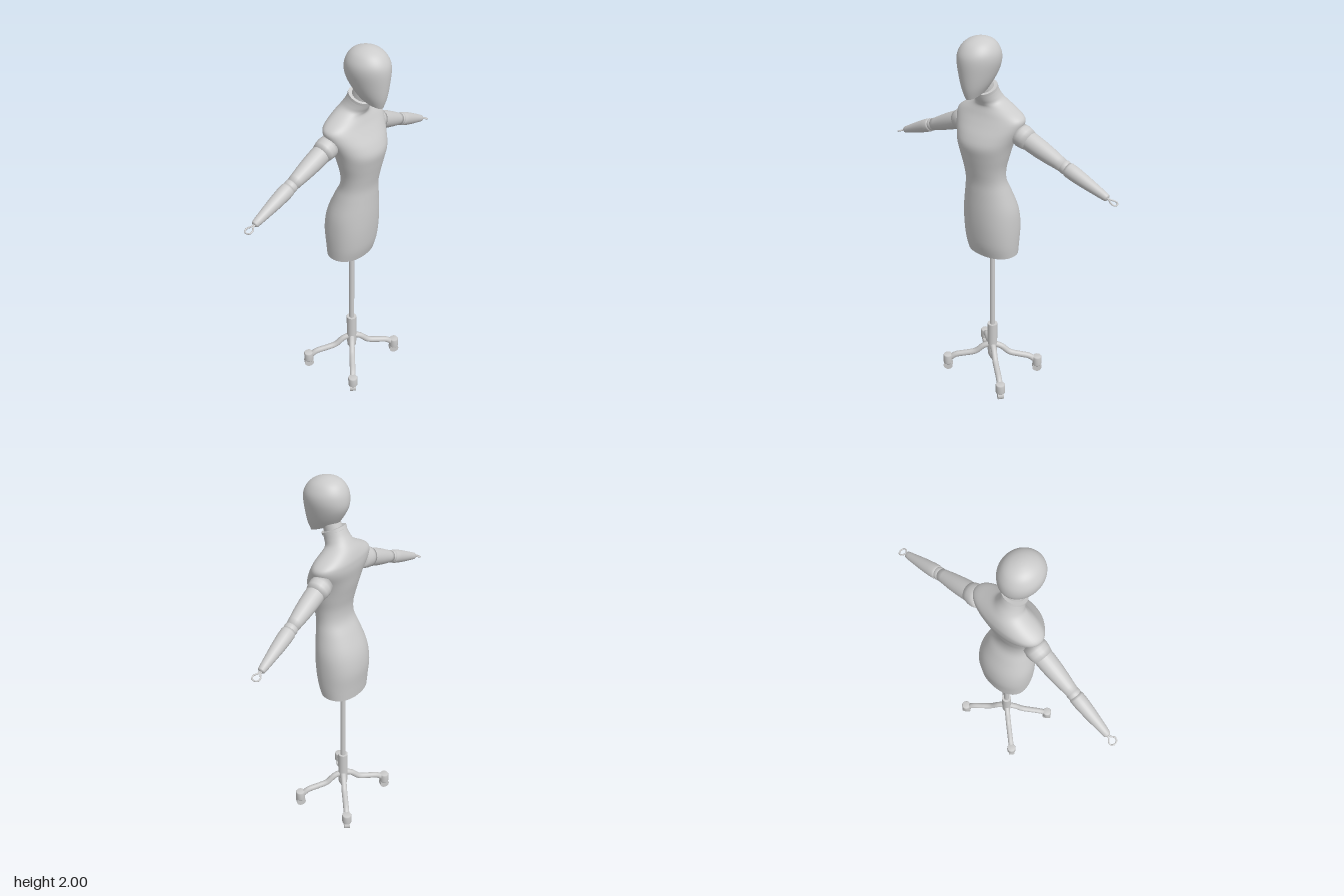
import * as THREE from 'three';

const grey = new THREE.MeshStandardMaterial({ color: 0xcccccc });
const V = (x, y, z) => new THREE.Vector3(x, y, z);

function add(parent, name, geometry, x = 0, y = 0, z = 0) {
  const mesh = new THREE.Mesh(geometry, grey);
  mesh.name = name;
  mesh.position.set(x, y, z);
  parent.add(mesh);
  return mesh;
}

// Smooth blend through a list of cross-sections, u from 0 to rows.length - 1
function sample(rows, u) {
  const i = Math.min(Math.floor(u), rows.length - 2), t = u - i;
  const [a, b, c, d] = [-1, 0, 1, 2].map(k => rows[THREE.MathUtils.clamp(i + k, 0, rows.length - 1)]);
  return b.map((p, k) => {
    const m0 = (c[k] - a[k]) / 2, m1 = (d[k] - p) / 2, t2 = t * t, t3 = t2 * t;
    return (2 * t3 - 3 * t2 + 1) * p + (t3 - 2 * t2 + t) * m0 + (3 * t2 - 2 * t3) * c[k] + (t3 - t2) * m1;
  });
}

// Skin over rows of [y, front z, back z, half width, squareness, tilt dy/dz], with flat end caps
function loft(rows, sub = 4, seg = 48) {
  const pos = [], index = [], n = (rows.length - 1) * sub;
  const ring = u => {
    const [y, zf, zb, rx, e, tilt] = sample(rows, u);
    const cz = (zf + zb) / 2, rz = (zf - zb) / 2;
    for (let j = 0; j < seg; j++) {
      const a = j / seg * Math.PI * 2, c = Math.cos(a), s = Math.sin(a);
      const dz = rz * Math.sign(c) * Math.abs(c) ** (2 / e);
      pos.push(rx * Math.sign(s) * Math.abs(s) ** (2 / e), y + dz * tilt, cz + dz);
    }
    return [y, cz];
  };
  for (let i = 0; i <= n; i++) ring(i / sub);
  for (let i = 0; i < n; i++) for (let j = 0; j < seg; j++) {
    const a = i * seg + j, b = i * seg + (j + 1) % seg;
    index.push(a, b, b + seg, a, b + seg, a + seg);
  }
  for (const top of [false, true]) {
    const start = pos.length / 3, [y, cz] = ring(top ? rows.length - 1 : 0);
    pos.push(0, y, cz);
    for (let j = 0; j < seg; j++) {
      const a = start + j, b = start + (j + 1) % seg;
      index.push(start + seg, top ? a : b, top ? b : a);
    }
  }
  const g = new THREE.BufferGeometry();
  g.setAttribute('position', new THREE.Float32BufferAttribute(pos, 3));
  g.setIndex(index);
  g.computeVertexNormals();
  return g;
}

const lathe = (pts, seg = 24) => new THREE.LatheGeometry(pts.map(p => new THREE.Vector2(...p)), seg);

function makeArm(side) {
  const arm = new THREE.Group();
  arm.name = side > 0 ? 'leftArm' : 'rightArm';
  arm.position.set(side * 0.2, 1.527, -0.005);
  arm.quaternion.setFromUnitVectors(V(0, 1, 0), V(side * 0.48, -0.187, -0.025).normalize());
  // Profiles are [radius, distance along the arm]
  add(arm, 'shoulderCuff', lathe([[0, -0.04], [0.052, -0.04], [0.057, -0.01], [0.055, 0.015], [0.049, 0.04], [0, 0.045]]));
  add(arm, 'upperArm', lathe([[0.048, 0.02], [0.048, 0.06], [0.046, 0.11], [0.041, 0.17], [0.035, 0.22], [0.032, 0.25], [0, 0.255]]));
  add(arm, 'elbow', new THREE.SphereGeometry(0.034, 24, 16), 0, 0.262, 0);
  add(arm, 'forearm', lathe([[0, 0.268], [0.031, 0.27], [0.036, 0.285], [0.036, 0.32], [0.032, 0.38], [0.026, 0.44], [0.021, 0.49], [0.018, 0.512], [0.012, 0.518], [0, 0.518]]));
  // Wire loop in place of a hand
  const loop = new THREE.CatmullRomCurve3([
    V(0, 0.51, 0.003), V(0, 0.53, 0.006), V(0, 0.548, 0.019), V(0, 0.564, 0.017),
    V(0, 0.571, 0), V(0, 0.564, -0.017), V(0, 0.548, -0.019), V(0, 0.53, -0.006), V(0, 0.51, -0.003)]);
  add(arm, 'handLoop', new THREE.TubeGeometry(loop, 48, 0.004, 8));
  return arm;
}

function makeLeg(sx, sz) {
  const leg = new THREE.Group();
  leg.name = 'baseLeg';
  const fx = sx * 0.205, fz = sz * 0.167;
  const curve = new THREE.CatmullRomCurve3(
    [[0.04, 0.185], [0.2, 0.168], [0.38, 0.128], [0.6, 0.113], [0.82, 0.1], [0.92, 0.082], [1, 0.065]].map(([k, y]) => V(fx * k, y, fz * k)));
  add(leg, 'legBar', new THREE.TubeGeometry(curve, 32, 0.017, 10));
  // Caster housing over a wheel set across the leg
  add(leg, 'casterHousing', lathe([[0, 0.038], [0.022, 0.038], [0.027, 0.046], [0.027, 0.094], [0.023, 0.1], [0, 0.1]]), fx, 0, fz);
  const wheel = add(leg, 'casterWheel', new THREE.CylinderGeometry(0.027, 0.027, 0.034, 24), fx, 0.027, fz);
  wheel.rotation.set(0, Math.atan2(-fz, fx), 0);
  wheel.rotateX(Math.PI / 2);
  return leg;
}

export function createModel() {
  const model = new THREE.Group();
  model.name = 'dressForm';

  add(model, 'torso', loft([
    [0.83, 0.092, -0.118, 0.147, 2.2, 0],
    [0.9, 0.112, -0.124, 0.154, 2.2, 0],
    [1.0, 0.124, -0.132, 0.158, 2.2, 0],
    [1.1, 0.129, -0.118, 0.153, 2.1, 0],
    [1.2, 0.129, -0.076, 0.13, 2.1, 0],
    [1.27, 0.13, -0.042, 0.115, 2.1, 0],
    [1.34, 0.143, -0.038, 0.119, 2.1, 0],
    [1.41, 0.158, -0.052, 0.137, 2.1, 0],
    [1.47, 0.167, -0.067, 0.154, 2.1, 0],
    [1.52, 0.15, -0.077, 0.174, 2.1, 0],
    [1.57, 0.119, -0.086, 0.196, 2.2, 0],
    [1.605, 0.098, -0.087, 0.202, 2.2, 0],
    [1.63, 0.086, -0.084, 0.178, 2.2, 0],
    [1.66, 0.076, -0.072, 0.122, 2.1, -0.05],
    [1.685, 0.08, -0.05, 0.078, 2, -0.2],
    [1.71, 0.089, -0.028, 0.064, 2, -0.35],
    [1.735, 0.097, -0.013, 0.059, 2, -0.45]]));
  add(model, 'neckDisc', loft([
    [1.735, 0.102, -0.014, 0.062, 2, -0.45],
    [1.748, 0.107, -0.008, 0.062, 2, -0.45]], 1));
  add(model, 'neckStub', loft([
    [1.74, 0.092, 0.006, 0.045, 2, -0.45],
    [1.775, 0.105, 0.02, 0.045, 2, -0.45]], 1));

  // Featureless head with a chin pitched forward
  add(model, 'head', loft([
    [1.747, 0.177, 0.02, 0.044, 2, -0.42],
    [1.79, 0.192, -0.006, 0.068, 2, -0.3],
    [1.84, 0.201, -0.024, 0.087, 2, -0.14],
    [1.89, 0.205, -0.029, 0.099, 2, 0],
    [1.93, 0.197, -0.023, 0.097, 2, 0],
    [1.965, 0.173, -0.004, 0.079, 2, 0],
    [1.986, 0.142, 0.022, 0.054, 2, 0],
    [1.997, 0.11, 0.055, 0.025, 2, 0],
    [2.0, 0.084, 0.08, 0.002, 2, 0]]));

  for (const side of [1, -1]) model.add(makeArm(side));

  // Stand
  const stand = new THREE.Group();
  stand.name = 'stand';
  stand.position.z = -0.006;
  add(stand, 'pole', new THREE.CylinderGeometry(0.015, 0.015, 0.56, 20), 0, 0.58, 0);
  add(stand, 'collar', new THREE.CylinderGeometry(0.028, 0.028, 0.15, 24), 0, 0.255, 0);
  add(stand, 'hub', lathe([[0, 0.078], [0.012, 0.08], [0.017, 0.095], [0.025, 0.11], [0.028, 0.14], [0.028, 0.19]]));
  for (const sx of [1, -1]) for (const sz of [1, -1]) stand.add(makeLeg(sx, sz));
  model.add(stand);
  return model;
}
